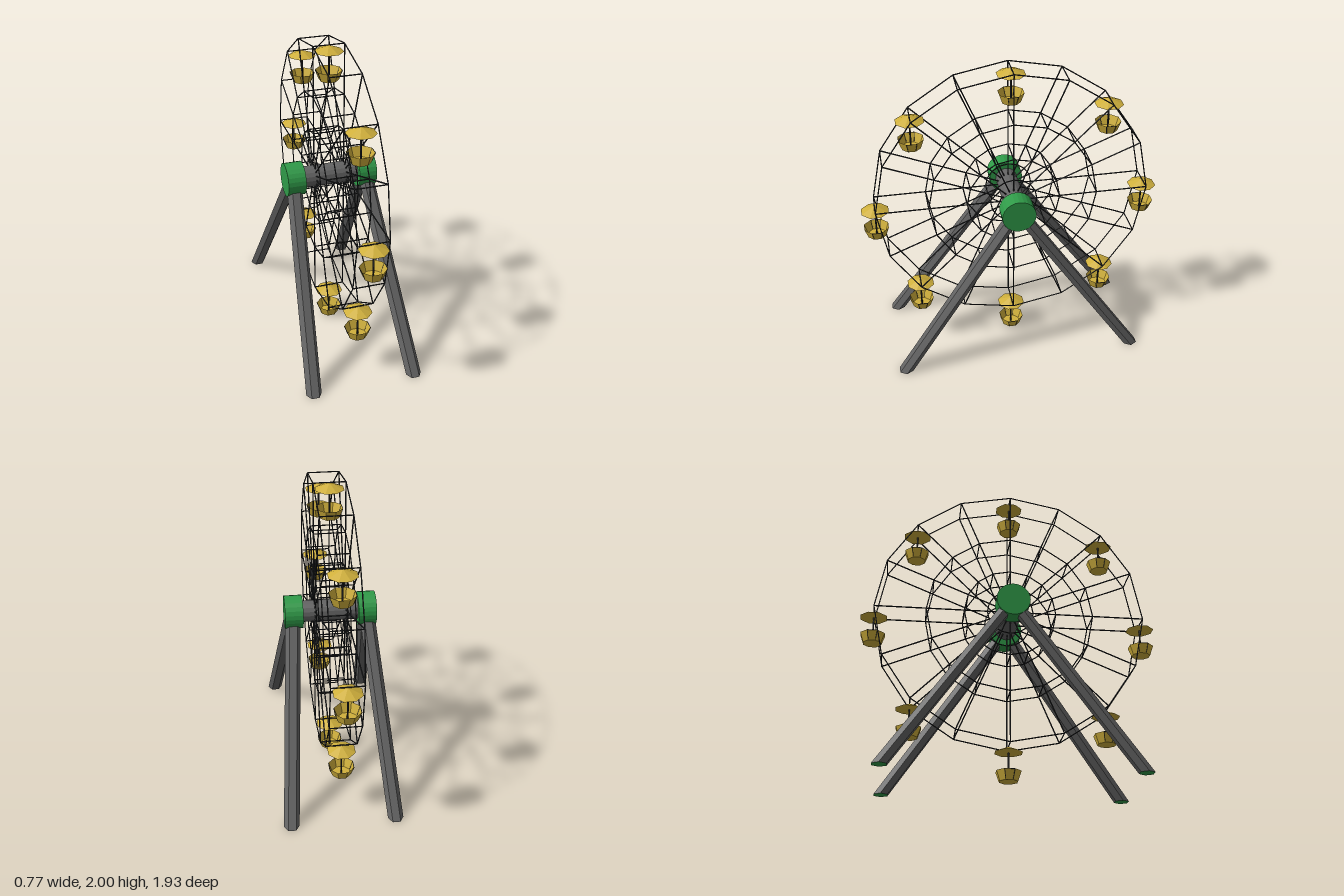
import * as THREE from 'three';
import { mergeGeometries } from 'three/addons/utils/BufferGeometryUtils.js';

const material = (color, extra = {}) => {
  const m = new THREE.MeshStandardMaterial({ color, flatShading: true, ...extra });
  return m;
};
const V = (x, y, z) => new THREE.Vector3(x, y, z);

const AXLE_Y = 1.12, RIM = 0.88, HALF = 0.1, SIDES = 16;

// Thin straight bar between two points
function rod(a, b, r) {
  const d = b.clone().sub(a);
  const g = new THREE.CylinderGeometry(r, r, d.length(), 5);
  g.applyQuaternion(new THREE.Quaternion().setFromUnitVectors(V(0, 1, 0), d.normalize()));
  const mid = a.clone().add(b).multiplyScalar(0.5);
  return g.translate(mid.x, mid.y, mid.z);
}

// Point on the wheel: corner i, at radius r, on plane x
function wheelPoint(x, r, i) {
  const t = (i / SIDES) * Math.PI * 2;
  return V(x, AXLE_Y + r * Math.cos(t), r * Math.sin(t));
}

export function createModel() {
  const group = new THREE.Group();
  const dark = material(0x2a2c2e);
  const grey = material(0x636363);
  const green = material(0x2f9a48);
  const gold = material(0xd0b03c, { side: THREE.DoubleSide });

  const add = (parent, name, geometry, mat) => {
    const mesh = new THREE.Mesh(geometry, mat);
    mesh.name = name;
    parent.add(mesh);
    return mesh;
  };

  // Wheel: two faces of rings and spokes, tied by crossbars
  const rings = [], spokes = [], crossbars = [];
  for (let i = 0; i < SIDES; i++) {
    for (const x of [-HALF, HALF]) {
      for (const r of [RIM, 0.545, 0.3, 0.15]) {
        rings.push(rod(wheelPoint(x, r, i), wheelPoint(x, r, i + 1), 0.004));
      }
      spokes.push(rod(wheelPoint(x, 0.06, i), wheelPoint(x, RIM, i), 0.0045));
    }
    for (const r of [RIM, 0.545, 0.3]) {
      crossbars.push(rod(wheelPoint(-HALF, r, i), wheelPoint(HALF, r, i), 0.004));
    }
  }
  const wheel = new THREE.Group();
  wheel.name = 'wheel';
  group.add(wheel);
  add(wheel, 'rings', mergeGeometries(rings), dark);
  add(wheel, 'spokes', mergeGeometries(spokes), dark);
  add(wheel, 'crossbars', mergeGeometries(crossbars), dark);

  // Axle
  const axle = new THREE.CylinderGeometry(0.07, 0.07, 0.4, 16).rotateZ(Math.PI / 2);
  add(group, 'axle', axle.translate(0, AXLE_Y, 0), grey);

  for (const sx of [-1, 1]) {
    // Hub drum at each end of the axle
    const hub = new THREE.CylinderGeometry(0.108, 0.108, 0.117, 24).rotateZ(Math.PI / 2);
    add(group, 'hub', hub.translate(sx * 0.2365, AXLE_Y, 0), green);

    // Hexagonal legs, sheared so that the feet lie flat on the ground
    for (const sz of [-1, 1]) {
      const leg = new THREE.CylinderGeometry(0.05, 0.05, AXLE_Y, 6).rotateY(Math.PI / 6);
      leg.translate(0, AXLE_Y / 2, 0);
      const p = leg.attributes.position;
      for (let i = 0; i < p.count; i++) {
        const t = p.getY(i) / AXLE_Y;
        p.setX(i, p.getX(i) + sx * THREE.MathUtils.lerp(0.335, 0.238, t));
        p.setZ(i, p.getZ(i) + sz * THREE.MathUtils.lerp(0.778, 0.008, t));
      }
      leg.computeVertexNormals();
      add(group, 'leg', leg, [grey, green, green]);
    }
  }

  // Cabin parts, measured down from the rim joint
  const turn = Math.PI / 8;
  const roof = new THREE.ConeGeometry(0.093, 0.04, 8).rotateY(turn).translate(0, -0.02, 0);
  const pole = rod(V(0, -0.02, 0), V(0, -0.222, 0), 0.006);
  const walls = new THREE.CylinderGeometry(0.084, 0.061, 0.064, 8, 1, true).rotateY(turn).translate(0, -0.192, 0);
  const floor = new THREE.CylinderGeometry(0.061, 0.061, 0.004, 8).rotateY(turn).translate(0, -0.222, 0);

  // Dark trim around the doors on both sides
  const trim = [];
  for (const s of [-1, 1]) {
    const c = (top, z) => V(s * (top ? 0.078 : 0.058), top ? -0.162 : -0.218, z);
    trim.push(rod(c(true, -0.032), c(false, -0.023), 0.002));
    trim.push(rod(c(true, 0.032), c(false, 0.023), 0.002));
    trim.push(rod(c(true, -0.032), c(true, 0.032), 0.002));
  }
  const doorTrim = mergeGeometries(trim);

  // Eight cabins hang upright on every second corner of the rim
  for (let i = 0; i < SIDES; i += 2) {
    const cabin = new THREE.Group();
    cabin.name = 'cabin';
    cabin.position.copy(wheelPoint(0, RIM, i));
    add(cabin, 'roof', roof, gold);
    add(cabin, 'pole', pole, dark);
    add(cabin, 'basketWalls', walls, gold);
    add(cabin, 'basketFloor', floor, gold);
    add(cabin, 'doorTrim', doorTrim, dark);
    group.add(cabin);
  }

  return group;
}
